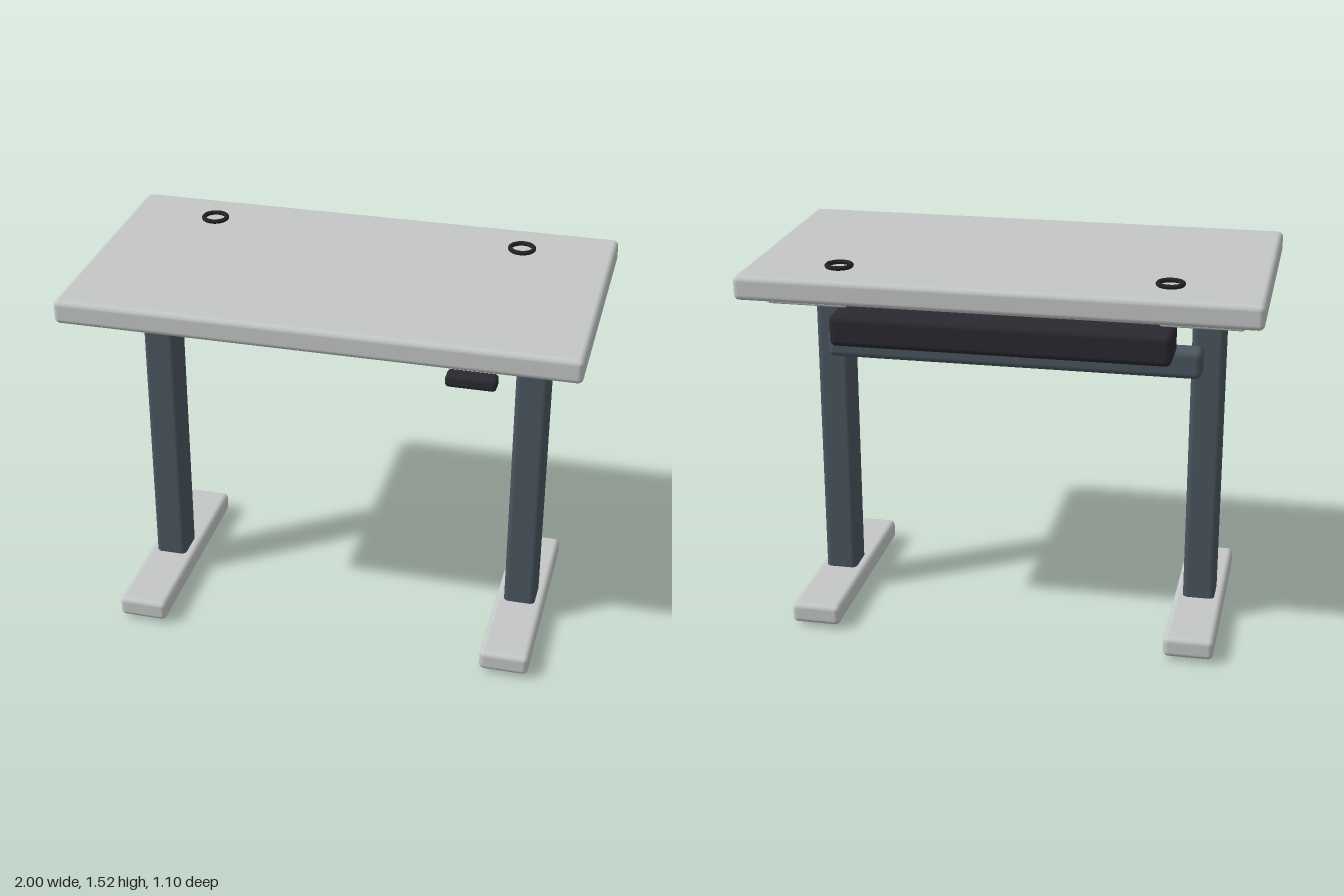
import * as THREE from 'three';
import { RoundedBoxGeometry } from 'three/addons/geometries/RoundedBoxGeometry.js';

const material = (name, color) => {
  const m = new THREE.MeshStandardMaterial({ color });
  m.name = name;
  return m;
};

export function createModel() {
  const paleGrey = material('pale grey', 0xc3c7c5);
  const slate = material('slate', 0x4b565f);
  const charcoal = material('charcoal', 0x292930);
  const black = material('black', 0x222226);

  const desk = new THREE.Group();
  desk.name = 'standingDesk';

  // Rounded block given by its [min, max] extent on each axis
  const block = (name, [x0, x1], [y0, y1], [z0, z1], radius, mat) => {
    const geometry = new RoundedBoxGeometry(x1 - x0, y1 - y0, z1 - z0, 4, radius);
    const mesh = new THREE.Mesh(geometry, mat);
    mesh.position.set((x0 + x1) / 2, (y0 + y1) / 2, (z0 + z1) / 2);
    mesh.name = name;
    desk.add(mesh);
  };

  block('desktop', [-1, 1], [1.41, 1.506], [-0.545, 0.538], 0.022, paleGrey);

  // Leg assemblies, mirrored left and right
  for (const [side, s] of [['left', 1], ['right', -1]]) {
    const span = (a, b) => (s > 0 ? [a, b] : [-b, -a]);
    block(side + 'Foot', span(0.662, 0.86), [0.016, 0.101], [-0.453, 0.446], 0.022, paleGrey);
    block(side + 'Column', span(0.697, 0.826), [0.002, 1.358], [-0.077, 0.071], 0.022, slate);
    block(side + 'TopPlate', span(0.604, 0.919), [1.355, 1.403], [-0.382, 0.376], 0.008, paleGrey);

    // Cable grommet ring set in the desktop
    const ring = new THREE.Mesh(new THREE.TorusGeometry(0.047, 0.009, 12, 40), black);
    ring.rotation.x = Math.PI / 2;
    ring.position.set(s * 0.637, 1.514, -0.345);
    ring.name = side + 'Grommet';
    desk.add(ring);
  }

  // Crossbar, cable tray and height control
  block('crossbar', [-0.75, 0.75], [1.082, 1.199], [-0.184, -0.086], 0.026, slate);
  block('cableTray', [-0.659, 0.659], [1.217, 1.343], [-0.45, -0.255], 0.026, charcoal);
  block('heightControl', [0.506, 0.694], [1.346, 1.394], [0.484, 0.551], 0.014, charcoal);

  return desk;
}
